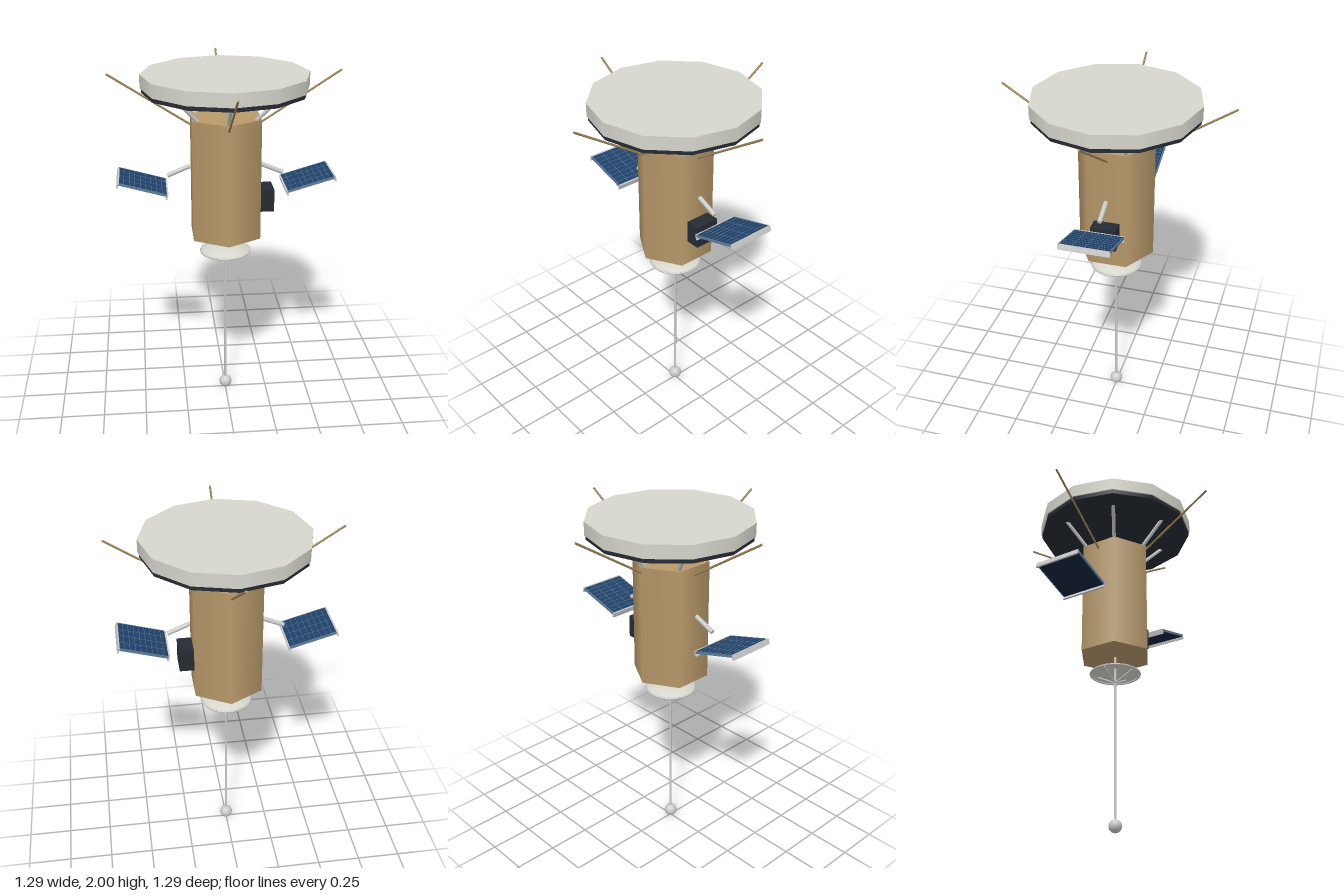
import * as THREE from 'three';

const mat = (color, extra = {}) => new THREE.MeshStandardMaterial({ color, ...extra });
const gold = mat(0xb8996a);
const white = mat(0xd6d6cd);
const metal = mat(0xcccccc);
const dark = mat(0x262a33);
const brass = mat(0xa08558);
const cellBlue = mat(0x1f4068);
const lineBlue = mat(0x5f7d9c);
const backBlue = mat(0x14243a);

const V = (x, y, z) => new THREE.Vector3(x, y, z);

function add(parent, name, geometry, material, x = 0, y = 0, z = 0) {
  const mesh = new THREE.Mesh(geometry, material);
  mesh.name = name;
  mesh.position.set(x, y, z);
  parent.add(mesh);
  return mesh;
}

// Round rod between two points
function rod(parent, name, a, b, radius, material, sides = 8) {
  const dir = b.clone().sub(a);
  const mesh = add(parent, name, new THREE.CylinderGeometry(radius, radius, dir.length(), sides), material);
  mesh.position.copy(a).add(b).multiplyScalar(0.5);
  mesh.quaternion.setFromUnitVectors(V(0, 1, 0), dir.normalize());
  return mesh;
}

// Point at an angle around the y axis, angle 0 facing +z
const around = (angle, r, y) => V(Math.sin(angle) * r, y, Math.cos(angle) * r);

// Panel on the +x side, tilted up outwards
function solarPanel() {
  const panel = new THREE.Group();
  panel.name = 'solarPanel';
  const length = 0.28, width = 0.272;
  add(panel, 'panelCells', new THREE.BoxGeometry(length, 0.012, width), cellBlue);
  add(panel, 'panelBack', new THREE.BoxGeometry(length - 0.01, 0.002, width - 0.01), backBlue, 0, -0.007, 0);
  for (let i = 1; i < 9; i++) {
    add(panel, 'cellColumnLine', new THREE.BoxGeometry(0.002, 0.001, width), lineBlue, -length / 2 + i * length / 9, 0.0064, 0);
  }
  for (let i = 1; i < 4; i++) {
    add(panel, 'cellRowLine', new THREE.BoxGeometry(length, 0.001, 0.002), lineBlue, 0, 0.0064, -width / 2 + i * width / 4);
  }
  for (const s of [-1, 1]) {
    add(panel, 'sideFrame', new THREE.BoxGeometry(length, 0.014, 0.005), lineBlue, 0, 0, s * 0.137);
    add(panel, 'endRail', new THREE.BoxGeometry(0.009, 0.031, 0.28), metal, s * length / 2, -0.008, 0);
  }
  panel.position.set(0.47, 1.379, 0);
  panel.rotation.z = 0.28;
  return panel;
}

export function createModel() {
  const model = new THREE.Group();
  model.name = 'satellite';

  // Six-sided body
  add(model, 'body', new THREE.CylinderGeometry(0.22, 0.22, 0.7, 6), gold, 0, 1.4, 0);

  // Twelve-sided shield and its dark backing
  add(model, 'shield', new THREE.CylinderGeometry(0.467, 0.467, 0.076, 12), white, 0, 1.952, 0);
  add(model, 'shieldBacking', new THREE.CylinderGeometry(0.46, 0.46, 0.025, 12), dark, 0, 1.9025, 0);

  // Struts between body and shield
  for (let i = 0; i < 6; i++) {
    const a = i * Math.PI / 3;
    rod(model, 'shieldStrut', around(a, 0.18, 1.738), around(a, 0.335, 1.897), 0.011, metal);
  }

  // Four whip antennas
  for (let i = 0; i < 4; i++) {
    const a = i * Math.PI / 2;
    rod(model, 'whipAntenna', around(a, 0.18, 1.697), around(a, 0.643, 1.995), 0.006, brass);
  }

  // Solar wings with their short arms
  for (const side of [0, Math.PI]) {
    const wing = new THREE.Group();
    wing.name = side ? 'rightWing' : 'leftWing';
    rod(wing, 'wingArm', V(0.205, 1.464, 0), V(0.329, 1.412, 0), 0.013, metal, 10);
    wing.add(solarPanel());
    wing.rotation.y = side;
    model.add(wing);
  }

  // Instrument box and downward sensor
  add(model, 'instrumentBox', new THREE.BoxGeometry(0.09, 0.13, 0.144), dark, 0.228, 1.265, 0);
  rod(model, 'sensor', V(0.14, 1.076, 0), V(0.161, 1.039, 0), 0.027, dark, 12);

  // Shallow dish opening downwards
  const dish = new THREE.Group();
  dish.name = 'lowerDish';
  const profile = [];
  for (let i = 0; i <= 8; i++) {
    const r = 0.145 * i / 8;
    profile.push(new THREE.Vector2(r, 0.976 - 0.036 * (r / 0.145) ** 2));
  }
  profile.reverse();
  add(dish, 'dishShell', new THREE.LatheGeometry(profile, 28), mat(0xd6d6cd, { side: THREE.DoubleSide }));
  const rim = add(dish, 'dishRim', new THREE.TorusGeometry(0.144, 0.006, 8, 28), metal, 0, 0.94, 0);
  rim.rotation.x = Math.PI / 2;
  for (let i = 0; i < 4; i++) {
    rod(dish, 'feedStrut', around(i * Math.PI / 2, 0.115, 0.945), V(0, 0.885, 0), 0.005, metal);
  }
  model.add(dish);

  // Long boom with end ball
  rod(model, 'boom', V(0, 0.04, 0), V(0, 1.06, 0), 0.0075, metal, 10);
  add(model, 'boomBall', new THREE.SphereGeometry(0.038, 20, 14), metal, 0, 0.04, 0);

  return model;
}
